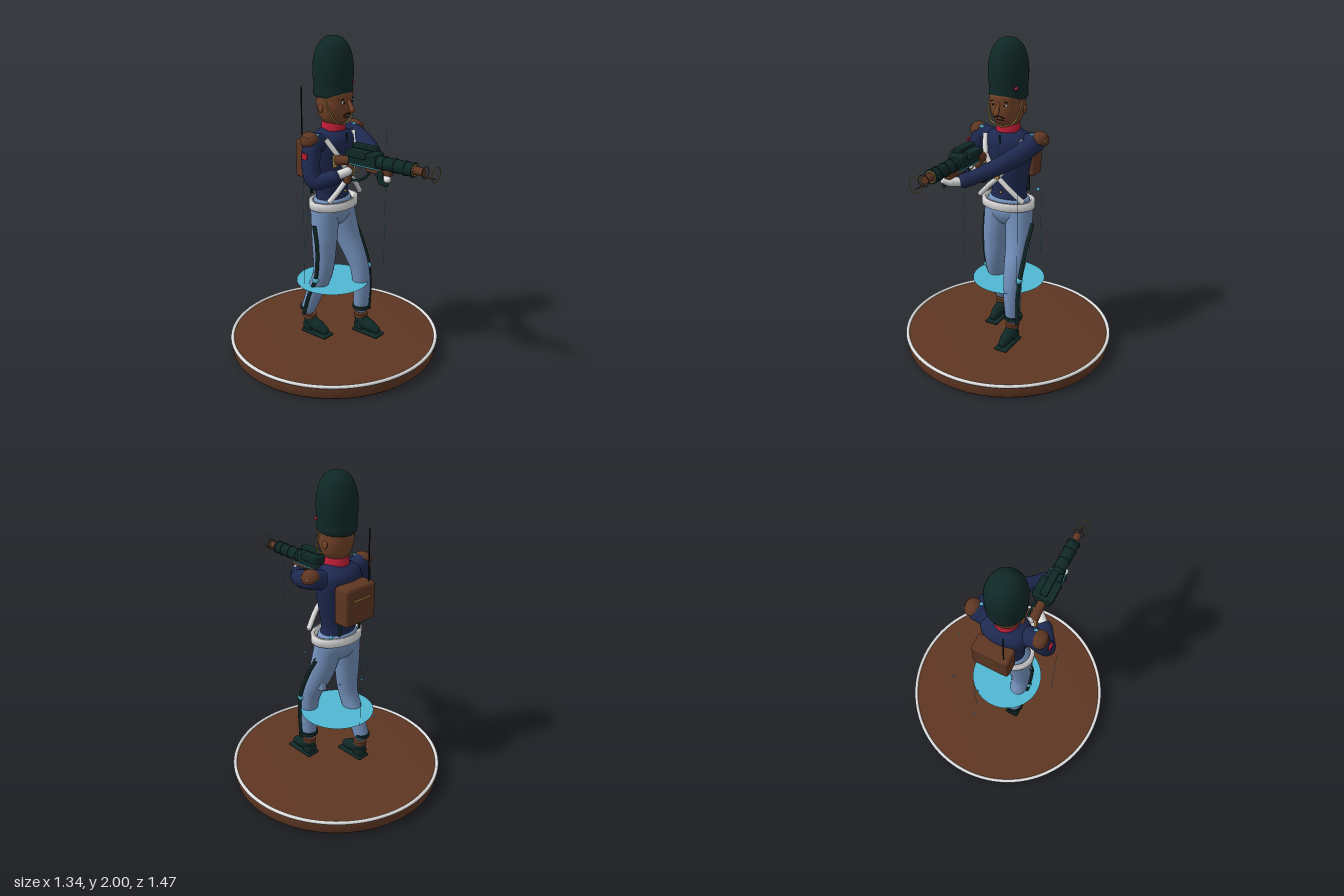
import * as THREE from 'three';
import { RoundedBoxGeometry } from 'three/addons/geometries/RoundedBoxGeometry.js';

const V = (x, y, z) => new THREE.Vector3(x, y, z);
const material = (name, color) => new THREE.MeshStandardMaterial({ name, color, side: THREE.DoubleSide });

export function createModel() {
  const green = material('darkGreen', 0x0f2826), navy = material('navy', 0x1e2950);
  const blue = material('trouserBlue', 0x7390bb), brown = material('leatherBrown', 0x5e3622);
  const skin = material('skin', 0x754429), white = material('white', 0xdedede);
  const red = material('red', 0xb81c34), gold = material('gold', 0xb9954c);
  const cyan = material('cyan', 0x52b8d2), black = material('black', 0x1b1512);
  const model = new THREE.Group();
  model.name = 'toySoldier';

  // helpers
  const add = (name, geometry, mat, x = 0, y = 0, z = 0, parent = model) => {
    const mesh = new THREE.Mesh(geometry, mat);
    mesh.name = name;
    mesh.position.set(x, y, z);
    parent.add(mesh);
    return mesh;
  };
  const box = (name, mat, w, h, d, x, y, z, r = 0.005) =>
    add(name, new RoundedBoxGeometry(w, h, d, 2, r), mat, x, y, z);
  const ball = (name, mat, r, x, y, z, sx = 1, sy = 1, sz = 1) => {
    const mesh = add(name, new THREE.SphereGeometry(r, 20, 14), mat, x, y, z);
    mesh.scale.set(sx, sy, sz);
    return mesh;
  };
  const lathe = (name, mat, pts, z, sz = 1, smooth = true) => {
    let profile = pts.map(p => new THREE.Vector2(...p));
    if (smooth) profile = new THREE.SplineCurve(profile).getPoints(30).map(p => p.setX(Math.max(p.x, 0)));
    const mesh = add(name, new THREE.LatheGeometry(profile, 48), mat, 0, 0, z);
    mesh.scale.z = sz;
    return mesh;
  };
  const rod = (name, mat, a, b, r, r2 = r) => {
    const mesh = add(name, new THREE.CylinderGeometry(r2, r, a.distanceTo(b), 20), mat);
    mesh.position.copy(a).lerp(b, 0.5);
    mesh.quaternion.setFromUnitVectors(V(0, 1, 0), b.clone().sub(a).normalize());
    return mesh;
  };
  // tapered tube through [x, y, z, radius] points with round ends
  const limb = (name, mat, pts) => {
    const group = new THREE.Group();
    group.name = name;
    const curve = new THREE.CatmullRomCurve3(pts.map(p => V(p[0], p[1], p[2])));
    const n = 28, sides = 20, geo = new THREE.TubeGeometry(curve, n, 1, sides);
    const pos = geo.attributes.position, v = V(0, 0, 0);
    for (let i = 0; i < pos.count; i++) {
      const u = Math.floor(i / (sides + 1)) / n;
      const t = curve.getUtoTmapping(u) * (pts.length - 1);
      const k = Math.min(Math.floor(t), pts.length - 2);
      const r = THREE.MathUtils.lerp(pts[k][3], pts[k + 1][3], t - k), c = curve.getPointAt(u);
      v.fromBufferAttribute(pos, i).sub(c).multiplyScalar(r).add(c);
      pos.setXYZ(i, v.x, v.y, v.z);
    }
    geo.computeVertexNormals();
    add(name + 'Tube', geo, mat, 0, 0, 0, group);
    for (const p of [pts[0], pts[pts.length - 1]])
      add(name + 'End', new THREE.SphereGeometry(p[3], 20, 12), mat, p[0], p[1], p[2], group);
    model.add(group);
    return group;
  };
  const tube = (name, mat, r, pts) => add(name,
    new THREE.TubeGeometry(new THREE.CatmullRomCurve3(pts.map(p => V(...p))), 28, r, 8), mat);

  // display base
  const cz = -0.06;
  lathe('base', brown, [[0, 0], [0.645, 0], [0.66, 0.015], [0.66, 0.07], [0.655, 0.09], [0, 0.09]], cz, 1, false);
  add('baseRim', new THREE.TorusGeometry(0.66, 0.011, 12, 96), white, 0, 0.09, cz).rotation.x = Math.PI / 2;

  // glowing disc, beams and sparks
  add('glowDisc', new THREE.CircleGeometry(0.23, 64), cyan, 0, 0.46, cz - 0.01).rotation.x = -Math.PI / 2;
  for (const [x, z, top] of [[0.2, 0.185, 1.47], [0.08, -0.35, 0.99], [-0.31, -0.03, 1.23]])
    rod('beam', cyan, V(x, 0.5, z), V(x, top, z), 0.0012);
  for (const [x, y, z] of [[0.05, 0.6, -0.435], [0.06, 0.815, -0.34], [0.235, 0.85, -0.335], [0.3, 0.995, -0.115]])
    ball('spark', cyan, 0.006, x, y, z);
  ball('hipLight', cyan, 0.011, 0.15, 1.06, -0.17);

  // legs, stripes, knee studs and boots
  limb('leftLeg', blue, [[0.07, 0.95, -0.07, 0.09], [0.092, 0.76, -0.025, 0.079], [0.106, 0.55, 0.062, 0.06],
    [0.11, 0.4, 0.08, 0.054], [0.113, 0.27, 0.075, 0.048]]);
  limb('rightLeg', blue, [[-0.07, 0.95, -0.07, 0.09], [-0.09, 0.76, -0.06, 0.079], [-0.1, 0.55, -0.065, 0.062],
    [-0.107, 0.4, -0.125, 0.055], [-0.112, 0.27, -0.178, 0.048]]);
  lathe('hips', blue, [[0, 0.83], [0.09, 0.86], [0.135, 0.92], [0.135, 0.98], [0.12, 1.03], [0, 1.035]], -0.07, 0.76);
  tube('leftStripe', green, 0.013, [[0.17, 0.875, -0.06], [0.171, 0.73, 0.02], [0.168, 0.55, 0.09], [0.162, 0.4, 0.105], [0.16, 0.24, 0.1]]);
  tube('rightStripe', green, 0.013, [[-0.172, 0.875, -0.07], [-0.17, 0.73, -0.05], [-0.165, 0.52, -0.07], [-0.162, 0.4, -0.125], [-0.158, 0.24, -0.18]]);
  ball('leftKneeStud', cyan, 0.021, 0.163, 0.545, 0.09);
  ball('rightKneeStud', cyan, 0.021, -0.163, 0.51, -0.07);
  const garter = (x, z, r) => add('garter', new THREE.CylinderGeometry(r, r, 0.022, 28), green, x, 0.272, z);
  garter(0.115, 0.075, 0.058);
  garter(-0.112, -0.185, 0.049);
  for (const [x, z] of [[0.11, 0.075], [-0.105, -0.175]]) {
    limb('boot', green, [[x, 0.19, z, 0.04], [x, 0.165, z + 0.03, 0.04], [x, 0.15, z + 0.08, 0.038], [x, 0.138, z + 0.125, 0.026]]);
    rod('bootCuff', brown, V(x, 0.2, z), V(x, 0.225, z), 0.043);
    box('heel', green, 0.07, 0.06, 0.07, x, 0.14, z, 0.015);
    box('sole', green, 0.088, 0.018, 0.2, x, 0.107, z + 0.06, 0.008);
  }
  rod('holster', blue, V(0.115, 0.65, -0.055), V(0.115, 0.82, -0.055), 0.028, 0.012);

  // jacket, belt and cross straps
  lathe('torso', navy, [[0, 1], [0.112, 1.005], [0.112, 1.08], [0.135, 1.22], [0.155, 1.34], [0.145, 1.41],
    [0.09, 1.45], [0.05, 1.475], [0, 1.476]], -0.07, 0.75);
  for (const s of [-1, 1]) ball('shoulder', navy, 0.06, s * 0.145, 1.39, -0.065);
  lathe('belt', white, [[0.148, 0.972], [0.175, 0.972], [0.175, 1.02], [0.148, 1.02], [0.148, 0.972]], -0.06, 0.74, false);
  for (const s of [-1, 1]) {
    const strap = tube('crossStrap', white, 0.016, [[s * 0.15, 1.04, 0.026], [s * 0.07, 1.12, 0.054],
      [-s * 0.01, 1.2, 0.064], [-s * 0.09, 1.32, 0.05], [-s * 0.13, 1.42, -0.01]]);
    strap.name = s > 0 ? 'leftCrossStrap' : 'rightCrossStrap';
  }
  box('strapPlate', gold, 0.036, 0.036, 0.012, 0, 1.2, 0.082);
  for (let y = 1.08; y < 1.44; y += 0.06) ball('button', gold, 0.008, 0, y, y > 1.4 ? 0.015 : 0.033);
  box('frontSeam', green, 0.008, 0.17, 0.008, 0, 1.36, 0.042, 0.002);
  lathe('collar', red, [[0.075, 1.452], [0.068, 1.5], [0.055, 1.5], [0.055, 1.452]], -0.06, 1, false);

  // head and face
  lathe('head', skin, [[0, 1.478], [0.05, 1.487], [0.083, 1.525], [0.1, 1.58], [0.105, 1.63], [0.1, 1.69], [0, 1.7]], -0.052, 1.04);
  limb('nose', skin, [[0, 1.64, 0.052, 0.01], [0, 1.605, 0.073, 0.014], [0, 1.585, 0.082, 0.017]]);
  box('mouth', black, 0.045, 0.007, 0.008, 0, 1.535, 0.037, 0.003);
  for (const s of [-1, 1]) {
    ball('eye', white, 0.012, s * 0.038, 1.627, 0.046, 1.2, 0.7, 0.6);
    ball('pupil', black, 0.006, s * 0.038, 1.627, 0.053);
    box('eyebrow', black, 0.034, 0.006, 0.008, s * 0.038, 1.647, 0.049, 0.002).rotation.z = -s * 0.12;
    box('moustache', black, 0.036, 0.007, 0.008, s * 0.017, 1.554, 0.047, 0.003).rotation.z = -s * 0.3;
    ball('ear', skin, 0.024, s * 0.104, 1.59, -0.07, 0.4, 1.1, 0.8);
    tube('chinStrap', gold, 0.005, [[s * 0.108, 1.65, -0.03], [s * 0.103, 1.58, -0.005], [s * 0.07, 1.515, 0.02], [0, 1.49, 0.02]]);
  }

  // tall fur hat
  lathe('furHat', green, [[0, 1.645], [0.104, 1.647], [0.113, 1.72], [0.118, 1.8], [0.111, 1.88], [0.086, 1.95],
    [0.045, 1.99], [0, 2]], -0.06, 1.04);
  ball('hatStud', red, 0.011, 0.092, 1.725, 0.012);

  // arms, gloves and epaulettes
  limb('leftArm', navy, [[0.18, 1.4, -0.065, 0.06], [0.14, 1.35, 0.08, 0.056], [0.04, 1.29, 0.24, 0.046], [-0.045, 1.255, 0.34, 0.036]]);
  limb('leftCuff', navy, [[-0.025, 1.26, 0.32, 0.042], [-0.05, 1.253, 0.35, 0.042]]);
  limb('leftGlove', white, [[-0.07, 1.25, 0.375, 0.027], [-0.105, 1.255, 0.41, 0.028], [-0.132, 1.265, 0.44, 0.018]]);
  limb('rightArm', navy, [[-0.18, 1.4, -0.065, 0.06], [-0.225, 1.29, -0.045, 0.055], [-0.235, 1.19, -0.005, 0.05], [-0.185, 1.21, 0.07, 0.043]]);
  limb('rightCuff', navy, [[-0.195, 1.205, 0.055, 0.046], [-0.175, 1.215, 0.082, 0.046]]);
  limb('rightGlove', white, [[-0.15, 1.23, 0.105, 0.028], [-0.11, 1.25, 0.14, 0.026]]);
  for (const s of [-1, 1]) {
    const dome = add('epaulette', new THREE.SphereGeometry(0.055, 24, 10, 0, Math.PI * 2, 0, Math.PI / 2), brown, s * 0.21, 1.42, -0.065);
    dome.rotation.z = -s * 0.55;
    dome.scale.set(0.95, 0.9, 1.05);
    const under = add('epauletteBase', new THREE.CircleGeometry(0.054, 24), brown, s * 0.21, 1.42, -0.065);
    under.rotation.set(Math.PI / 2, s * 0.55, 0);
    ball('shoulderLight', cyan, 0.014, s * 0.172, 1.445, -0.04);
  }
  box('epauletteTrim', gold, 0.008, 0.008, 0.07, 0.254, 1.425, -0.065, 0.003);
  box('leftSleevePatch', red, 0.016, 0.038, 0.038, 0.207, 1.385, 0.0);
  box('rightSleevePatch', red, 0.016, 0.038, 0.038, -0.272, 1.34, -0.05);

  // rifle
  const gx = -0.105, gy = 1.345;
  box('receiver', green, 0.095, 0.085, 0.19, gx, gy + 0.005, 0.265, 0.008);
  box('receiverTop', green, 0.13, 0.04, 0.135, gx, gy + 0.035, 0.235, 0.006);
  box('sightRail', green, 0.045, 0.025, 0.17, gx, gy + 0.072, 0.265, 0.006);
  rod('barrelShroud', green, V(gx, gy, 0.33), V(gx, gy, 0.595), 0.038);
  for (const z of [0.4, 0.47, 0.54, 0.59]) rod('shroudRing', green, V(gx, gy, z - 0.007), V(gx, gy, z + 0.007), 0.042);
  add('muzzleRing', new THREE.TorusGeometry(0.03, 0.004, 8, 28), gold, gx, gy, 0.598);
  rod('muzzle', brown, V(gx, gy, 0.59), V(gx, gy, 0.655), 0.023);
  rod('tipRod', brown, V(gx, gy - 0.025, 0.65), V(gx, gy - 0.025, 0.735), 0.003);
  add('tipRing', new THREE.TorusGeometry(0.034, 0.0025, 6, 32), brown, gx, gy, 0.665);
  add('tipRing', new THREE.TorusGeometry(0.043, 0.0025, 6, 32), gold, gx, gy, 0.732);
  for (const s of [-1, 1]) box('glowStrip', cyan, 0.008, 0.008, 0.22, gx + s * 0.046, 1.315, 0.29, 0.003);
  rod('stock', brown, V(gx, 1.325, 0.18), V(gx, 1.3, 0.06), 0.026, 0.03);
  box('buttPlate', gold, 0.06, 0.075, 0.012, gx, 1.295, 0.05);
  box('grip', brown, 0.035, 0.13, 0.04, gx + 0.015, 1.23, 0.13, 0.01).rotation.x = 0.25;
  box('foregrip', brown, 0.045, 0.035, 0.17, gx, 1.295, 0.36, 0.01);
  limb('magazine', green, [[gx - 0.03, 1.29, 0.39, 0.018], [gx - 0.035, 1.25, 0.4, 0.018], [gx - 0.03, 1.235, 0.43, 0.014]]);
  tube('triggerGuard', gold, 0.004, [[gx, 1.3, 0.16], [gx, 1.265, 0.18], [gx, 1.265, 0.21], [gx, 1.3, 0.23]]);
  tube('powerCable', green, 0.008, [[gx + 0.03, 1.31, 0.28], [gx + 0.05, 1.23, 0.24], [gx + 0.06, 1.18, 0.15], [gx + 0.05, 1.19, 0.07]]);

  // backpack and antenna
  box('backpack', brown, 0.235, 0.235, 0.11, 0.005, 1.255, -0.217, 0.02);
  box('packTrim', gold, 0.13, 0.009, 0.008, 0.005, 1.295, -0.272, 0.003);
  rod('antenna', black, V(-0.075, 1.36, -0.245), V(-0.075, 1.695, -0.245), 0.004);
  for (const s of [-1, 1]) box('packStrap', green, 0.018, 0.1, 0.014, s * 0.08, 1.09, -0.17);

  return model;
}
